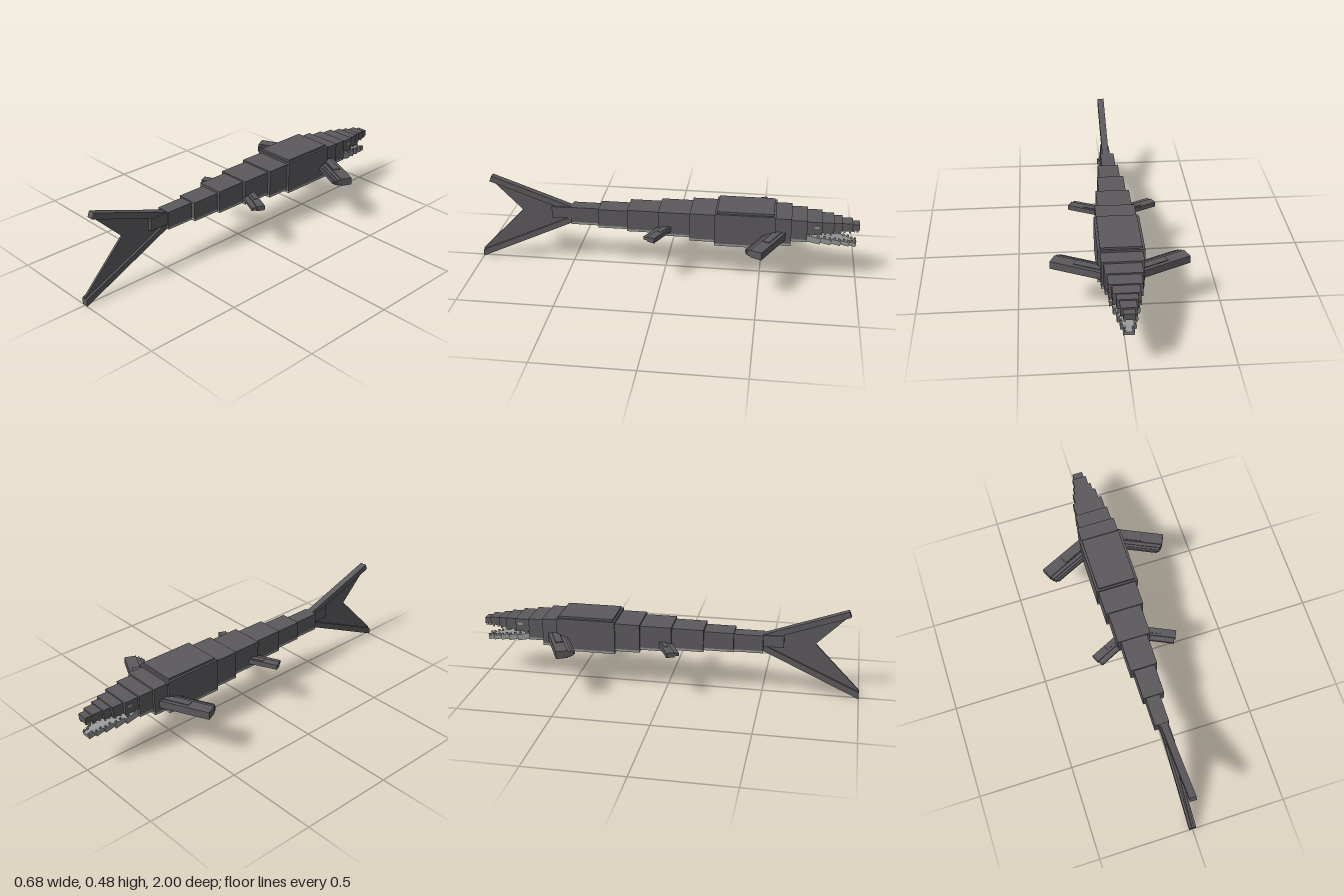
import * as THREE from 'three';

const skin = new THREE.MeshStandardMaterial({ color: 0x5d5a5e, flatShading: true, name: 'dark grey skin' });
const pale = new THREE.MeshStandardMaterial({ color: 0x979797, flatShading: true, name: 'pale grey belly' });

// Box given by its limits on each axis
function box(parent, name, mat, x0, x1, y0, y1, z0, z1) {
  const m = new THREE.Mesh(new THREE.BoxGeometry(x1 - x0, y1 - y0, z1 - z0), mat);
  m.position.set((x0 + x1) / 2, (y0 + y1) / 2, (z0 + z1) / 2);
  m.name = name;
  parent.add(m);
  return m;
}

// Upright plate from a [z, y] outline, centred on x = 0
function plate(parent, name, points, width) {
  const shape = new THREE.Shape(points.map(([z, y]) => new THREE.Vector2(z, y)));
  const geo = new THREE.ExtrudeGeometry(shape, { depth: width, bevelEnabled: false });
  geo.translate(0, 0, -width / 2).rotateY(-Math.PI / 2);
  const m = new THREE.Mesh(geo, skin);
  m.name = name;
  parent.add(m);
}

// Swept-back flipper of strips: [depth from, depth to, bottom, top, start, end]
function flipper(parent, name, side, rootX, rootZ, strips) {
  const g = new THREE.Group();
  g.name = name;
  g.position.set(side * rootX, 0, rootZ);
  g.rotation.y = -side * 0.44;
  for (const [d0, d1, y0, y1, a, b] of strips) {
    box(g, 'flipperStrip', skin, Math.min(side * a, side * b), Math.max(side * a, side * b), y0, y1, d0, d1);
  }
  parent.add(g);
}

export function createModel() {
  const root = new THREE.Group();
  root.name = 'seaReptile';

  // Body: [z from, z to, left x, right x, bottom, top]
  const body = [
    [0.345, 0.5, -0.045, 0.03, 0.23, 0.326],
    [0.19, 0.35, -0.058, 0.054, 0.23, 0.333],
    [0.03, 0.195, -0.074, 0.068, 0.225, 0.345],
    [-0.135, 0.03, -0.09, 0.085, 0.22, 0.352],
    [-0.265, -0.135, -0.103, 0.1, 0.208, 0.36],
    [-0.575, -0.265, -0.113, 0.113, 0.194, 0.371],
    [-0.655, -0.575, -0.102, 0.102, 0.212, 0.36],
    [-0.735, -0.655, -0.09, 0.09, 0.233, 0.35],
  ];
  for (const [z0, z1, x0, x1, y0, y1] of body) {
    box(root, 'bodySegment', skin, x0, x1, y0 + 0.012, y1, z0, z1);
    box(root, 'bellyPlate', pale, x0, x1, y0, y0 + 0.012, z0, z1);
  }
  box(root, 'backPlate', skin, -0.101, 0.101, 0.371, 0.382, -0.565, -0.275);
  box(root, 'tailStem', skin, -0.025, 0.025, 0.26, 0.322, 0.49, 0.605);

  // Upper jaw: [z from, z to, half width, bottom, top]
  const upperJaw = [
    [-0.81, -0.735, 0.08, 0.272, 0.342],
    [-0.87, -0.81, 0.064, 0.276, 0.335],
    [-0.912, -0.87, 0.05, 0.279, 0.33],
    [-0.965, -0.912, 0.038, 0.281, 0.324],
    [-1, -0.965, 0.027, 0.283, 0.315],
  ];
  for (const [z0, z1, w, y0, y1] of upperJaw) {
    box(root, 'upperJaw', skin, -w, w, y0, y1, z0, z1);
    for (const s of [-1, 1]) {
      for (const t of [0.25, 0.75]) {
        const z = z0 + (z1 - z0) * t, x = s * (w - 0.007);
        box(root, 'upperTooth', pale, x - 0.004, x + 0.004, y0 - 0.011, y0, z - 0.005, z + 0.005);
      }
    }
  }
  for (const s of [-1, 1]) {
    box(root, 'eye', pale, s * 0.081 - 0.002, s * 0.081 + 0.002, 0.308, 0.322, -0.795, -0.772);
  }

  // Lower jaw, hanging open
  const jaw = new THREE.Group();
  jaw.name = 'lowerJaw';
  jaw.position.set(0, 0.265, -0.725);
  jaw.rotation.x = -0.21;
  [[0, 0.085, 0.075, -0.032], [0.085, 0.14, 0.062, -0.028], [0.14, 0.19, 0.048, -0.025],
    [0.19, 0.235, 0.037, -0.022], [0.235, 0.27, 0.026, -0.02]].forEach(([a, b, w, y]) => {
    box(jaw, 'lowerJawSegment', pale, -w, w, y, 0, -b, -a);
    for (const s of [-1, 1]) {
      for (const t of [0.3, 0.8]) {
        const z = -a - (b - a) * t, x = s * (w - 0.007);
        box(jaw, 'lowerTooth', pale, x - 0.004, x + 0.004, 0, 0.01, z - 0.005, z + 0.005);
      }
    }
  });
  root.add(jaw);

  // Paired flippers
  for (const s of [-1, 1]) {
    flipper(root, 'frontFlipper', s, 0.095, -0.629, [
      [0, 0.06, 0.243, 0.283, -0.02, 0.27],
      [0.018, 0.055, 0.283, 0.287, 0, 0.155],
      [0.06, 0.078, 0.246, 0.277, -0.02, 0.266],
      [0.078, 0.091, 0.248, 0.272, 0, 0.26],
      [0.091, 0.1, 0.251, 0.267, 0, 0.25],
    ]);
    flipper(root, 'rearFlipper', s, 0.058, -0.05, [
      [0, 0.042, 0.245, 0.271, -0.02, 0.19],
      [0.01, 0.03, 0.271, 0.274, 0, 0.11],
      [0.042, 0.068, 0.248, 0.264, -0.02, 0.185],
    ]);
  }

  // Forked tail: thick leading edges with a thin web between
  plate(root, 'upperTailEdge', [[0.5, 0.29], [0.935, 0.446], [0.924, 0.476], [0.5, 0.324]], 0.036);
  plate(root, 'lowerTailEdge', [[0.5, 0.232], [1, 0], [1, 0.036], [0.5, 0.265]], 0.036);
  plate(root, 'tailWeb', [[0.5, 0.245], [0.995, 0.02], [0.998, 0.045], [0.765, 0.287], [0.93, 0.453], [0.5, 0.31]], 0.012);

  return root;
}
